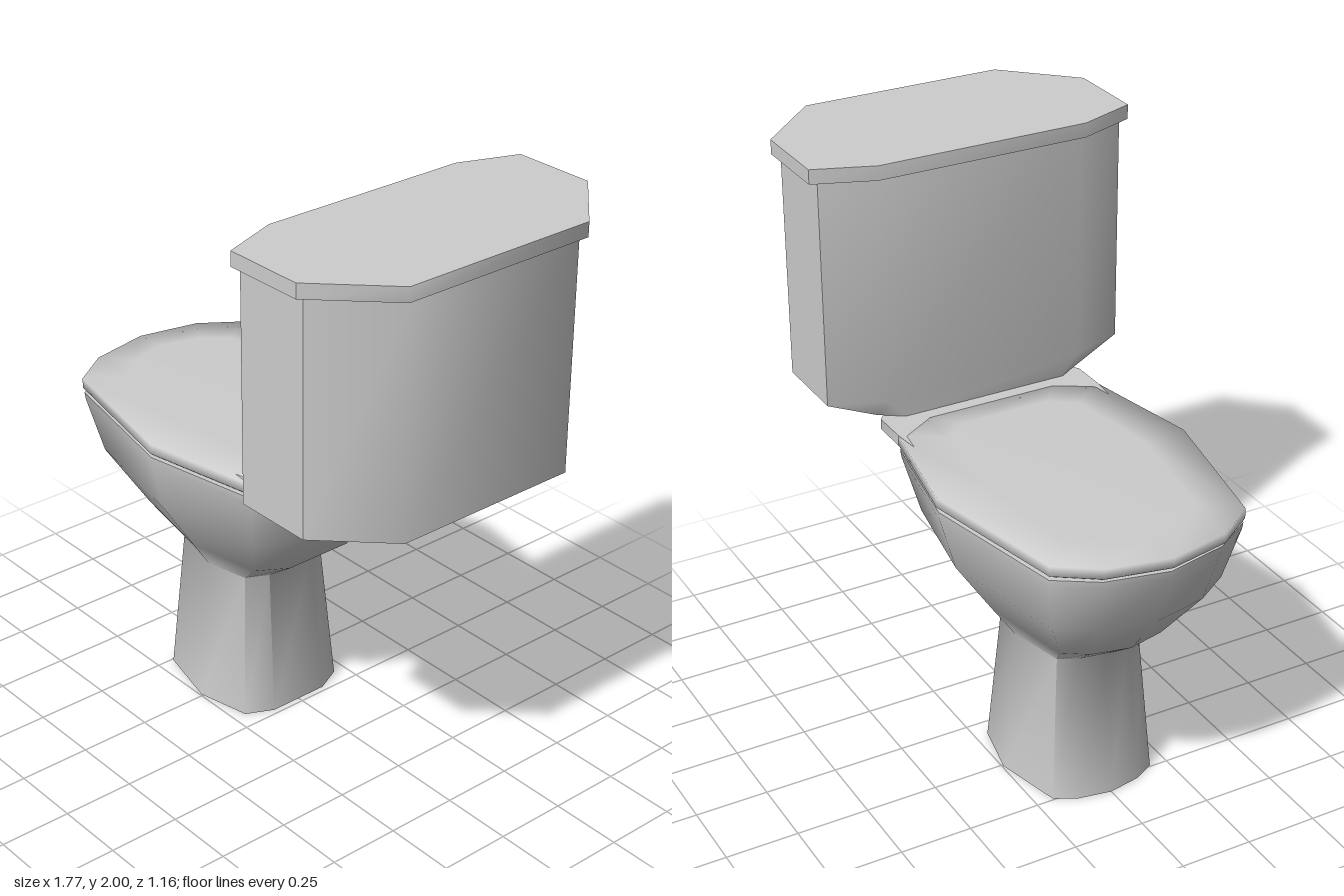
import * as THREE from 'three';
import { toCreasedNormals } from 'three/addons/utils/BufferGeometryUtils.js';

// Mirrors a half outline [x, z >= 0], listed front to rear, into a closed one.
function mirrored(half) {
  const back = half.filter(p => p[1] > 0).reverse().map(([x, z]) => [x, -z]);
  return [...half, ...back];
}

const ring = (half, y) => mirrored(half).map(([x, z]) => [x, y, z]);

// Joins rings from bottom to top and caps both ends.
function loft(rings, crease) {
  const n = rings[0].length, pos = rings.flat(2), index = [];
  for (let r = 0; r < rings.length - 1; r++) {
    for (let i = 0; i < n; i++) {
      const j = (i + 1) % n, a = r * n + i, b = r * n + j;
      index.push(a, b, b + n, a, b + n, a + n);
    }
  }
  [0, rings.length - 1].forEach((r, k) => {
    const xs = rings[r].map(p => p[0]);
    const c = pos.length / 3;
    pos.push((Math.min(...xs) + Math.max(...xs)) / 2, rings[r][0][1], 0);
    for (let i = 0; i < n; i++) {
      const a = r * n + i, b = r * n + (i + 1) % n;
      if (k) index.push(c, a, b); else index.push(c, b, a);
    }
  });
  const g = new THREE.BufferGeometry();
  g.setAttribute('position', new THREE.Float32BufferAttribute(pos, 3));
  g.setIndex(index);
  return toCreasedNormals(g, crease);
}

export function createModel() {
  const group = new THREE.Group();
  const ceramic = new THREE.MeshStandardMaterial({ color: 0xcccccc });
  ceramic.name = 'ceramic';
  const add = (name, rings, crease) => {
    const mesh = new THREE.Mesh(loft(rings, crease), ceramic);
    mesh.name = name;
    group.add(mesh);
  };

  // Pedestal flaring into the bowl: [y, front x, rear x, half width]
  const unit = [[-1, 0], [-0.92, 0.47], [-0.77, 0.77], [0.11, 1], [0.83, 0.83], [1, 0.45]];
  const bowlRings = [
    [0, -0.555, -0.02, 0.245],
    [0.52, -0.505, -0.065, 0.2],
    [0.63, -0.655, 0.085, 0.275],
    [0.82, -0.81, 0.23, 0.4],
    [1.01, -0.87, 0.295, 0.45],
    [1.035, -0.875, 0.3, 0.452],
  ].map(([y, x0, x1, w]) =>
    ring(unit.map(([u, v]) => [(x0 + x1) / 2 + u * (x1 - x0) / 2, v * w]), y));
  add('bowlAndPedestal', bowlRings, 1.1);

  // Seat lid with a softly shaded edge
  const lidHalf = [[-0.885, 0], [-0.84, 0.215], [-0.745, 0.35], [-0.22, 0.457], [0.2, 0.38], [0.28, 0.25]];
  const scaled = (sx, sz) => lidHalf.map(([x, z]) => [-0.3 + (x + 0.3) * sx, z * sz]);
  add('seatLid', [
    ring(scaled(0.97, 0.97), 1.04),
    ring(lidHalf, 1.052),
    ring(lidHalf, 1.087),
    ring(scaled(0.8, 0.65), 1.093),
  ], 1.8);

  // Shelf that carries the tank
  const shelfHalf = [[0.1, 0.37], [0.2, 0.38], [0.33, 0.38], [0.55, 0.2]];
  add('tankShelf', [
    ring([[0.1, 0.26], [0.18, 0.26], [0.26, 0.24], [0.3, 0.17]], 1.01),
    ring(shelfHalf, 1.05),
    ring(shelfHalf, 1.088),
  ], 0.785);

  // Tank with a tapered underside
  const tankHalf = [[0.305, 0.36], [0.375, 0.55], [0.655, 0.55], [0.865, 0.335]];
  add('tank', [
    ring([[0.305, 0.3], [0.36, 0.38], [0.6, 0.38], [0.66, 0.3]], 1.09),
    ring(tankHalf, 1.16),
    ring(tankHalf, 1.95),
  ], 0.785);

  // Tank lid
  const tankLidHalf = [[0.293, 0.375], [0.37, 0.58], [0.66, 0.58], [0.882, 0.355]];
  add('tankLid', [ring(tankLidHalf, 1.95), ring(tankLidHalf, 2)], 0.785);

  return group;
}
